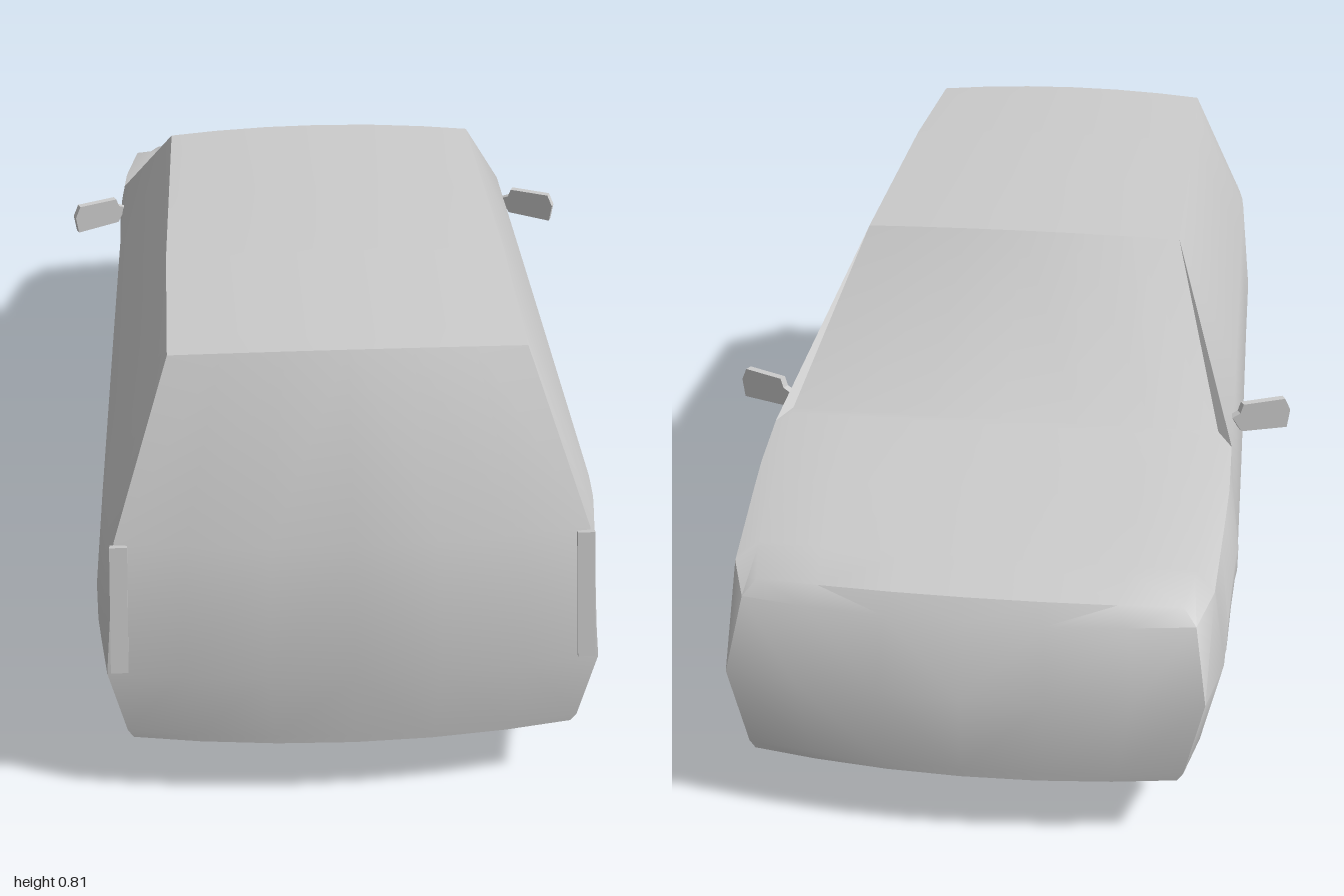
import * as THREE from 'three';
import { toCreasedNormals } from 'three/addons/utils/BufferGeometryUtils.js';

const grey = new THREE.MeshStandardMaterial({ color: 0xcccccc, side: THREE.DoubleSide });
const V = (x, y, z) => new THREE.Vector3(x, y, z);

// Piecewise-linear lookup; column k of the keyed rows
function at(keys, z, k = 1) {
  if (z <= keys[0][0]) return keys[0][k];
  for (let i = 1; i < keys.length; i++) {
    const a = keys[i - 1], b = keys[i];
    if (z <= b[0]) return a[k] + (b[k] - a[k]) * (z - a[0]) / (b[0] - a[0]);
  }
  return keys[keys.length - 1][k];
}

// Body outlines keyed along z (nose at -z)
const floorY = [[-0.965, 0.12], [-0.84, 0.105], [-0.475, 0.08], [0.5, 0.08], [0.965, 0.135]];
const halfWidth = [[-0.965, 0.415], [-0.845, 0.442], [-0.6, 0.457], [0, 0.455], [0.8, 0.45], [0.965, 0.425]];
const beltLine = [[-0.965, 0.4], [-0.845, 0.43], [-0.475, 0.515], [0.965, 0.52]];
// station z -> top edge x, y, z, forward or backward crown
const topEdge = [
  [-0.965, 0.37, 0.425, -0.89, -0.03], [-0.845, 0.385, 0.445, -0.82, -0.02],
  [-0.66, 0.397, 0.482, -0.65, 0], [-0.475, 0.408, 0.527, -0.44, -0.02],
  [-0.14, 0.31, 0.79, -0.14, -0.015], [0.5, 0.312, 0.797, 0.42, 0], [0.965, 0.305, 0.793, 0.765, 0.015],
];

const arch = (z, c, r) => Math.sqrt(Math.max(0, 1 - ((z - c) / r) ** 2));

// Edge points of one station: floor edge, sill, widest line, belt, top edge
function station(z) {
  const front = arch(z, -0.66, 0.185), rear = arch(z, 0.69, 0.19);
  const fy = at(floorY, z), hw = at(halfWidth, z);
  const sy = fy + Math.max(0.015, 0.25 * front, 0.17 * rear);
  const sx = hw - 0.04 * THREE.MathUtils.clamp((0.28 - sy) / 0.18, 0, 1);
  return [
    V(Math.min(0.405, sx - 0.01) - 0.06 * front, fy, z),
    V(sx, sy, z),
    V(hw, Math.max(0.28, sy + 0.05), z),
    V(hw - 0.022, at(beltLine, z), THREE.MathUtils.clamp(z, -0.91, 0.915)),
    V(at(topEdge, z, 1), at(topEdge, z, 2), at(topEdge, z, 3)),
  ];
}

// Moves an edge point towards the centre line with a shallow crown
function inset(p, f, crown, rise) {
  const k = 1 - f * f;
  return V(p.x * f, p.y + rise * k, p.z + crown * k);
}

function bodyGeometry() {
  const out = [];
  const tri = (a, b, c) => {
    for (const p of [a, b, c]) out.push(p.x, p.y, p.z);
    for (const p of [a, c, b]) out.push(-p.x, p.y, p.z);
  };
  const quad = (a, b, c, d) => { tri(a, b, c); tri(a, c, d); };
  const skin = (grid) => {
    for (let i = 0; i < grid.length - 1; i++)
      for (let j = 0; j < grid[i].length - 1; j++)
        quad(grid[i][j], grid[i][j + 1], grid[i + 1][j + 1], grid[i + 1][j]);
  };
  const zs = [-0.965];
  for (let a = 0; a <= 8; a++) zs.push(-0.66 - 0.185 * Math.cos(a * Math.PI / 8));
  zs.push(-0.14, 0.2);
  for (let a = 0; a <= 8; a++) zs.push(0.69 - 0.19 * Math.cos(a * Math.PI / 8));
  zs.push(0.965);
  const fs = [0, 0.35, 0.7];
  const last = zs.length - 1;
  const endCrown = (i) => (i === 0 ? -0.035 : i === last ? 0.035 : 0);

  // Floor, sides and top
  const edges = zs.map(station);
  skin(edges.map((e, i) => [
    ...fs.map((f) => inset(e[0], f, endCrown(i), 0)),
    ...e,
    ...[...fs].reverse().map((f) => inset(e[4], f, at(topEdge, zs[i], 4), 0.01)),
  ]));

  // Nose and tail panels
  const panel = (i) => [...fs, 1].map((f) => edges[i].map((p, j) =>
    j === 4 ? inset(p, f, at(topEdge, zs[i], 4), 0.01) : inset(p, f, endCrown(i), 0)));
  skin(panel(0));
  skin(panel(last).reverse());

  const geo = new THREE.BufferGeometry();
  geo.setAttribute('position', new THREE.Float32BufferAttribute(out, 3));
  return toCreasedNormals(geo, 0.65);
}

// Door mirror: thin housing on a short neck, swept back
function mirror(side) {
  const s = new THREE.Shape();
  s.moveTo(0, 0.005);
  s.lineTo(0.02, -0.027);
  s.lineTo(0.115, -0.032);
  s.lineTo(0.12, 0.005);
  s.lineTo(0.108, 0.03);
  s.lineTo(0.022, 0.03);
  s.lineTo(0.016, 0.012);
  s.closePath();
  const geo = new THREE.ExtrudeGeometry(s, { depth: 0.014, bevelEnabled: false });
  geo.translate(0, 0, -0.007);
  const m = new THREE.Mesh(geo, grey);
  m.name = side > 0 ? 'leftMirror' : 'rightMirror';
  m.position.set(side * 0.43, 0.515, -0.36);
  m.rotation.y = side > 0 ? -0.42 : Math.PI + 0.42;
  return m;
}

// Upright lamp strip on each rear corner
function tailLamp(side) {
  const s = new THREE.Shape();
  s.moveTo(0, 0);
  s.lineTo(0.03, 0);
  s.lineTo(0.022, 0.235);
  s.lineTo(-0.008, 0.235);
  s.closePath();
  const geo = new THREE.ExtrudeGeometry(s, { depth: 0.012, bevelEnabled: false });
  geo.rotateX(-0.2);
  geo.translate(0.388, 0.285, 0.962);
  if (side < 0) geo.rotateY(0).scale(-1, 1, 1);
  const m = new THREE.Mesh(geo, grey);
  m.name = side > 0 ? 'leftTailLamp' : 'rightTailLamp';
  return m;
}

export function createModel() {
  const car = new THREE.Group();
  car.name = 'hatchback';

  const body = new THREE.Mesh(bodyGeometry(), grey);
  body.name = 'body';
  car.add(body);

  // Single fitted wheel
  const wheel = new THREE.Mesh(
    toCreasedNormals(new THREE.CylinderGeometry(0.166, 0.166, 0.15, 12), 0.7), grey);
  wheel.name = 'frontLeftWheel';
  wheel.rotation.z = Math.PI / 2;
  wheel.position.set(0.367, 0.166, -0.655);
  car.add(wheel);

  for (const side of [1, -1]) car.add(mirror(side), tailLamp(side));
  return car;
}
